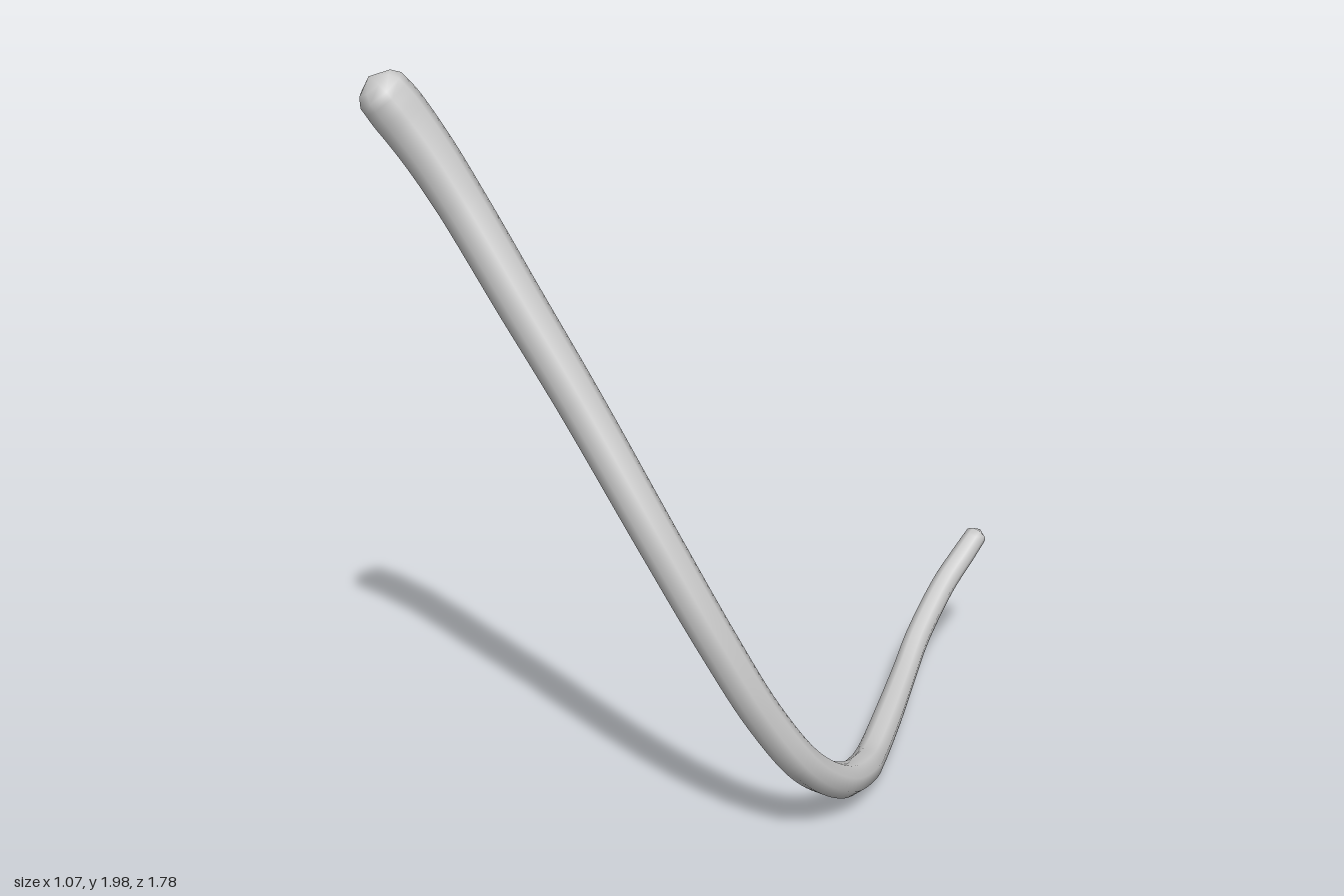
import * as THREE from 'three';
import { mergeVertices } from 'three/addons/utils/BufferGeometryUtils.js';

// Centre line of the rod: x, y, z, radius
const path = [
  [-0.503, 1.978, 0.857, 0.062], [-0.455, 1.9, 0.82, 0.07], [-0.39, 1.8, 0.79, 0.066],
  [-0.31, 1.67, 0.765, 0.062], [-0.17, 1.44, 0.737, 0.06], [-0.02, 1.2, 0.71, 0.057],
  [0.19, 0.85, 0.675, 0.054], [0.32, 0.6, 0.625, 0.052], [0.41, 0.39, 0.55, 0.05],
  [0.472, 0.22, 0.44, 0.049], [0.49, 0.11, 0.28, 0.048], [0.465, 0.058, 0.1, 0.046],
  [0.44, 0.048, 0, 0.043], [0.39, 0.07, -0.2, 0.041], [0.343, 0.117, -0.4, 0.037],
  [0.322, 0.17, -0.52, 0.036], [0.317, 0.268, -0.7, 0.035], [0.33, 0.327, -0.8, 0.034],
  [0.345, 0.383, -0.885, 0.031],
];
const SEGMENTS = 160, SIDES = 8;

function taperedRod() {
  const curve = new THREE.CatmullRomCurve3(path.map(p => new THREE.Vector3(p[0], p[1], p[2])));
  const geo = new THREE.TubeGeometry(curve, SEGMENTS, 1, SIDES, false);
  const pos = geo.attributes.position, v = new THREE.Vector3();

  // Taper every ring and close both ends with blunt tips
  for (let i = 0; i <= SEGMENTS; i++) {
    const u = i / SEGMENTS, centre = curve.getPointAt(u);
    const k = curve.getUtoTmapping(u) * (path.length - 1);
    const a = Math.min(Math.floor(k), path.length - 2);
    let r = THREE.MathUtils.lerp(path[a][3], path[a + 1][3], k - a);
    if (i === 0 || i === SEGMENTS) r = 0;
    else if (i === 1) r *= 0.78;
    for (let j = 0; j <= SIDES; j++) {
      const n = i * (SIDES + 1) + j;
      v.fromBufferAttribute(pos, n).sub(centre).multiplyScalar(r).add(centre);
      pos.setXYZ(n, v.x, v.y, v.z);
    }
  }

  // Weld the seam so shading runs smoothly around the rod
  geo.deleteAttribute('uv');
  geo.deleteAttribute('normal');
  const welded = mergeVertices(geo, 1e-5);
  welded.computeVertexNormals();
  return welded;
}

export function createModel() {
  const group = new THREE.Group();
  group.name = 'bentRod';
  const rod = new THREE.Mesh(taperedRod(), new THREE.MeshStandardMaterial({ color: 0xcccccc }));
  rod.name = 'rod';
  group.add(rod);
  return group;
}
